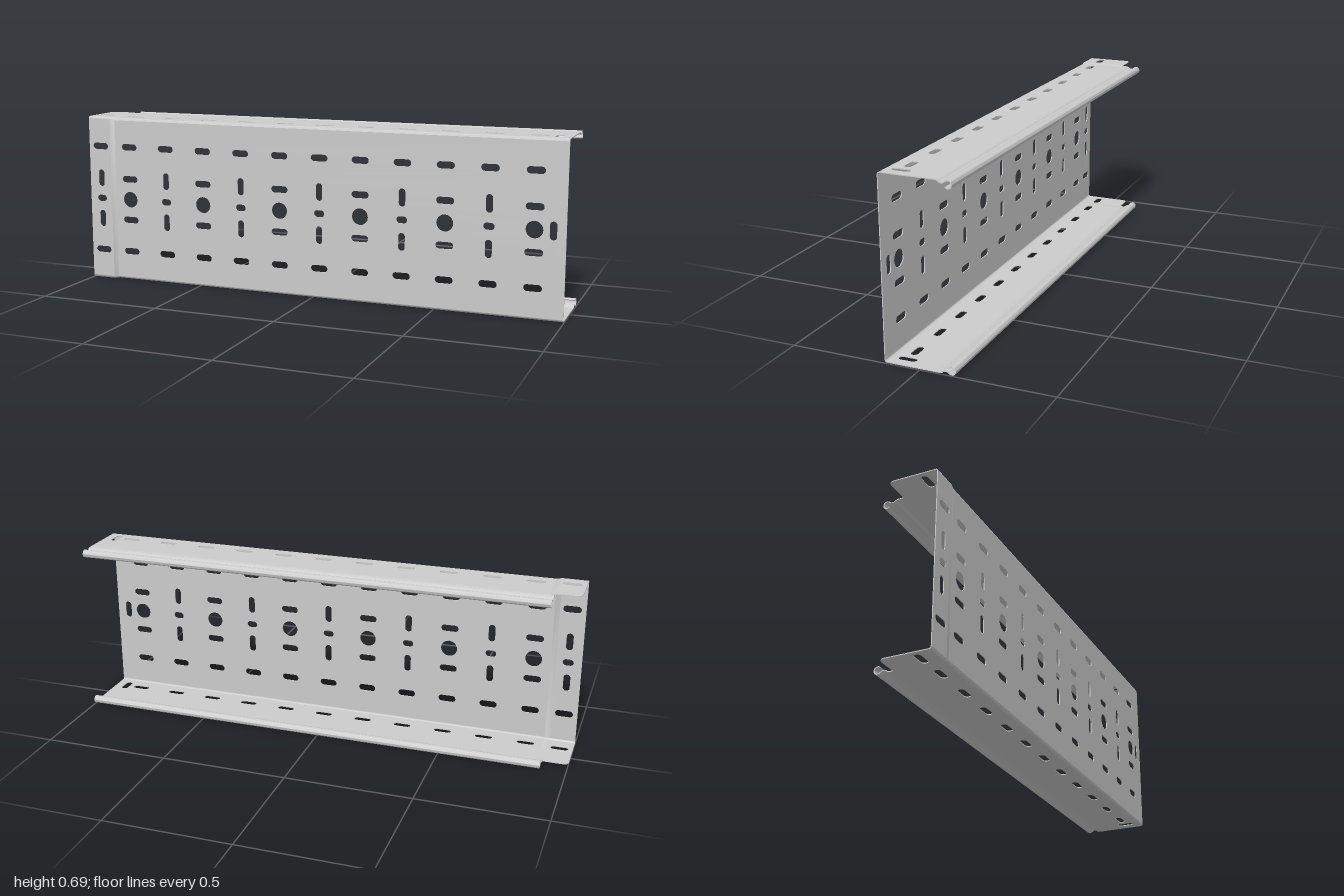
import * as THREE from 'three';
import { toCreasedNormals } from 'three/addons/utils/BufferGeometryUtils.js';

const T = 0.0035;               // sheet thickness, also the offset of the joggled end
const MID = 0.3435, HALF = 0.34; // mid height, half height of the main channel
const FRONT = 0.1345;           // outer front face of the main channel
const BEND = 0.01;              // outer bend radius
const EDGE = -0.058;            // rear edge of the flat flange
const X_END = -0.9, X_MAIN = -0.88; // the ramp runs between these

const metal = new THREE.MeshStandardMaterial({ color: 0xcccccc, side: THREE.DoubleSide });

function addPart(group, name, geometry) {
  const mesh = new THREE.Mesh(toCreasedNormals(geometry, 0.6), metal);
  mesh.name = name;
  group.add(mesh);
}

// Stadium-shaped hole, lying flat or standing upright
function slot(cx, cy, length = 0.07, upright = false, r = 0.0135) {
  const h = length / 2 - r, p = new THREE.Path(), q = Math.PI / 2;
  if (upright) {
    p.absarc(cx, cy + h, r, 0, 2 * q);
    p.absarc(cx, cy - h, r, 2 * q, 4 * q);
  } else {
    p.absarc(cx + h, cy, r, -q, q);
    p.absarc(cx - h, cy, r, q, 3 * q);
  }
  p.closePath();
  return p;
}

// Flat perforated sheet; "round" rounds its lower left corner
function plate(x0, x1, y0, y1, holes, round = 0) {
  const s = new THREE.Shape();
  s.moveTo(x0 + round, y0);
  s.lineTo(x1, y0);
  s.lineTo(x1, y1);
  s.lineTo(x0, y1);
  if (round) {
    s.lineTo(x0, y0 + round);
    s.absarc(x0 + round, y0 + round, round, Math.PI, 1.5 * Math.PI);
  }
  s.holes = holes;
  return new THREE.ExtrudeGeometry(s, { depth: T, bevelEnabled: false, curveSegments: 10 });
}

// Sheet of thickness T following a (z, y) centre line, run along x
function ribbon(points, x0, x1) {
  const a = [], b = [];
  points.forEach((p, i) => {
    const d = points[Math.min(i + 1, points.length - 1)].clone()
      .sub(points[Math.max(i - 1, 0)]).normalize().multiplyScalar(T / 2);
    a.push(new THREE.Vector2(p.x - d.y, p.y + d.x));
    b.unshift(new THREE.Vector2(p.x + d.y, p.y - d.x));
  });
  return new THREE.ExtrudeGeometry(new THREE.Shape([...a, ...b]), { depth: x1 - x0, bevelEnabled: false })
    .rotateY(-Math.PI / 2).translate(x1, 0, 0);
}

// Bend between flange and web; side is 1 for the top, -1 for the bottom
function bendPath(offset, side) {
  const pts = [], r = BEND - T / 2;
  for (let i = 0; i <= 8; i++) {
    const a = (Math.PI / 2) * (1 - i / 8);
    pts.push(new THREE.Vector2(FRONT + offset - BEND + r * Math.cos(a),
      MID + side * (HALF + offset - BEND + r * Math.sin(a))));
  }
  return pts;
}

// Wavy lip ending in an open curl
function lipPath(side) {
  const wave = [[-0.078, 0], [-0.085, -0.0025], [-0.091, -0.007], [-0.098, -0.0088], [-0.105, -0.0075], [-0.112, -0.003]];
  for (let deg = 65; deg <= 318; deg += 23) {
    const a = THREE.MathUtils.degToRad(deg);
    wave.push([-0.122 + 0.0138 * Math.cos(a), -0.0127 + 0.0138 * Math.sin(a)]);
  }
  const curve = new THREE.SplineCurve(wave.map(([z, y]) => new THREE.Vector2(z, y)));
  return [new THREE.Vector2(EDGE, 0), ...curve.getPoints(64)]
    .map(p => new THREE.Vector2(p.x, MID + side * (HALF - T / 2 + p.y)));
}

export function createModel() {
  const model = new THREE.Group();
  model.name = 'perforatedTray';

  // Hole pattern of the web and the flanges
  const webHoles = [], flangeHoles = [];
  const uprightColumn = x => [slot(x, MID, 0.043),
    ...[-1, 1].map(s => slot(x, MID + s * 0.086, 0.07, true))];
  const outerRows = x => [-1, 1].map(s => slot(x, MID + s * 0.22));
  for (let i = 0; i < 11; i++) {
    const x = -0.813 + i * 0.1695;
    webHoles.push(...outerRows(x));
    if (i % 2) webHoles.push(...uprightColumn(x));
    else {
      const round = new THREE.Path();
      round.absarc(x, MID, 0.033, 0, Math.PI * 2);
      webHoles.push(round, slot(x, MID - 0.086), slot(x, MID + 0.086));
    }
    flangeHoles.push(slot(x, 0.07));
  }
  webHoles.push(slot(0.952, MID, 0.07, true));
  flangeHoles.push(slot(0.952, 0.07, 0.07, true));

  // Main channel, and the slightly larger end that sleeves over the next length
  const sections = [
    { name: 'main', x0: X_MAIN, x1: 1, off: 0, web: webHoles, flange: flangeHoles, round: 0 },
    { name: 'end', x0: -1, x1: X_END, off: T, web: [...outerRows(-0.947), ...uprightColumn(-0.947)],
      flange: [slot(-0.947, 0.07)], round: 0.02 },
  ];
  for (const { name, x0, x1, off, web, flange, round } of sections) {
    const h = HALF + off, front = FRONT + off;
    addPart(model, name + 'Web',
      plate(x0, x1, MID - h + BEND, MID + h - BEND, web).translate(0, 0, front - T));
    for (const side of [1, -1]) {
      const label = side > 0 ? 'Top' : 'Bottom';
      const y = side > 0 ? MID + h : MID - h + T;
      addPart(model, name + label + 'Flange',
        plate(x0, x1, EDGE, front - BEND, flange, round).rotateX(Math.PI / 2).translate(0, y, 0));
      addPart(model, name + label + 'Bend', ribbon(bendPath(off, side), x0, x1));
    }
  }

  // Ramp joining the two sections: its outer end is pushed outwards
  const flangeEnd = side => new THREE.Vector2(EDGE, MID + side * (HALF - T / 2));
  const ramp = ribbon([flangeEnd(1), ...bendPath(0, 1), ...bendPath(0, -1).reverse(), flangeEnd(-1)], X_END, X_MAIN);
  const pos = ramp.attributes.position;
  for (let i = 0; i < pos.count; i++) {
    if (pos.getX(i) > (X_END + X_MAIN) / 2) continue;
    if (pos.getZ(i) > 0.1) pos.setZ(i, pos.getZ(i) + T);
    pos.setY(i, pos.getY(i) + T * Math.sign(pos.getY(i) - MID));
  }
  ramp.computeVertexNormals();
  addPart(model, 'joggleRamp', ramp);

  // Curled lips along the main channel
  addPart(model, 'topLip', ribbon(lipPath(1), X_END, 1));
  addPart(model, 'bottomLip', ribbon(lipPath(-1), X_END, 1));
  return model;
}
